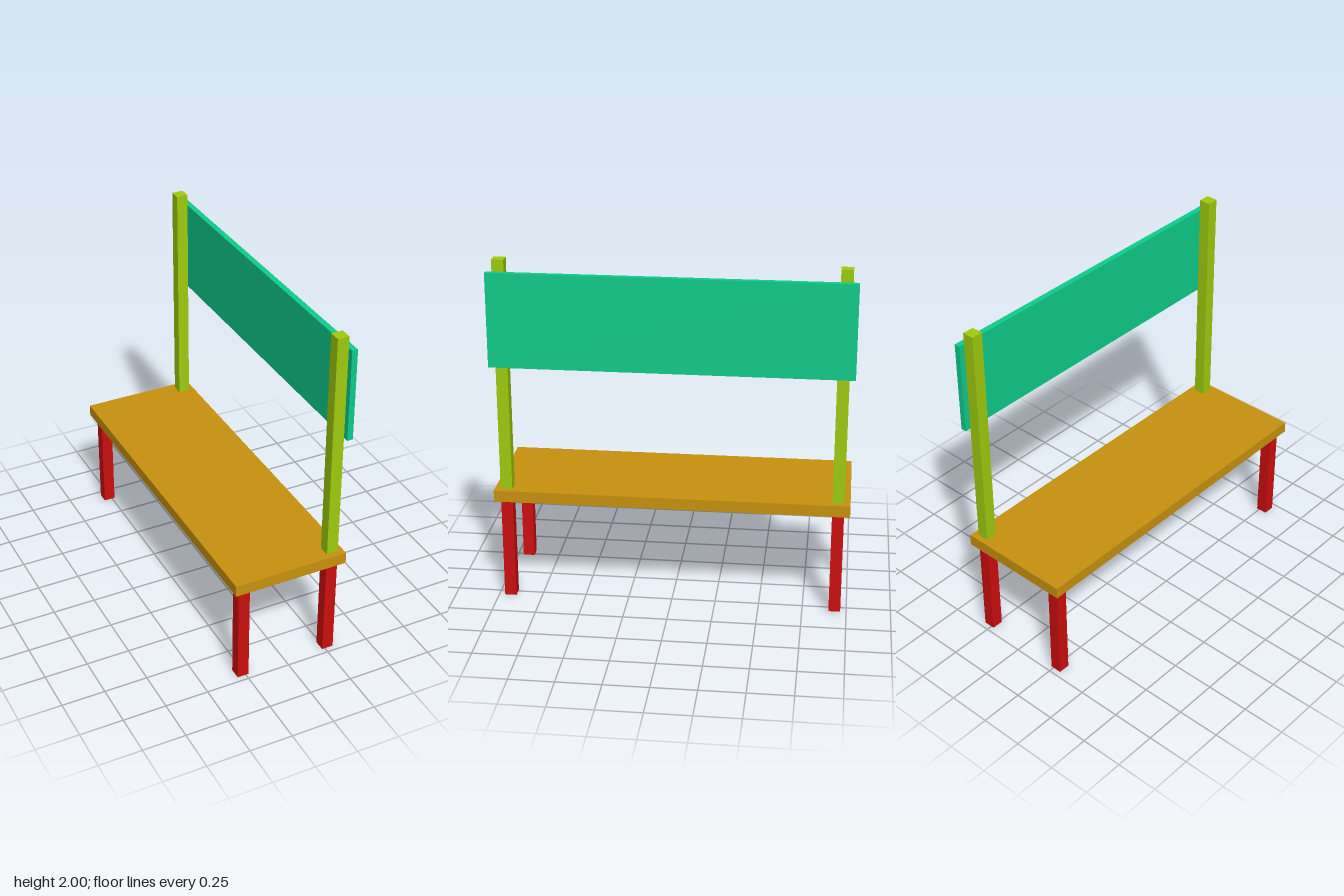
import * as THREE from 'three';

const U = 1 / 30; // one module: the model is 60 modules long

export function createModel() {
  const bench = new THREE.Group();
  bench.name = 'bench';

  const paint = (color) => new THREE.MeshStandardMaterial({ color });
  const red = paint(0xcc0e0e);
  const ochre = paint(0xc8920e);
  const lime = paint(0x9ecc0e);
  const green = paint(0x0ecc8b);

  // Box of w x h x d modules, resting at height y and centred on x, z
  const addBox = (name, material, [w, h, d], [x, y, z]) => {
    const mesh = new THREE.Mesh(new THREE.BoxGeometry(w * U, h * U, d * U), material);
    mesh.position.set(x * U, (y + h / 2) * U, z * U);
    mesh.name = name;
    bench.add(mesh);
  };

  // Seat board and back board (the back is fixed to the outside of the posts)
  addBox('seat', ochre, [20, 2, 60], [0, 18, 0]);
  addBox('backrest', green, [1, 16, 60], [9.5, 42, 0]);

  // Legs under the seat, and posts above the rear legs
  for (const [end, z] of [['Left', -28], ['Right', 28]]) {
    addBox('frontLeg' + end, red, [2, 18, 2], [-8, 0, z]);
    addBox('rearLeg' + end, red, [2, 18, 2], [8, 0, z]);
    addBox('backPost' + end, lime, [2, 40, 2], [8, 20, z]);
  }

  return bench;
}
